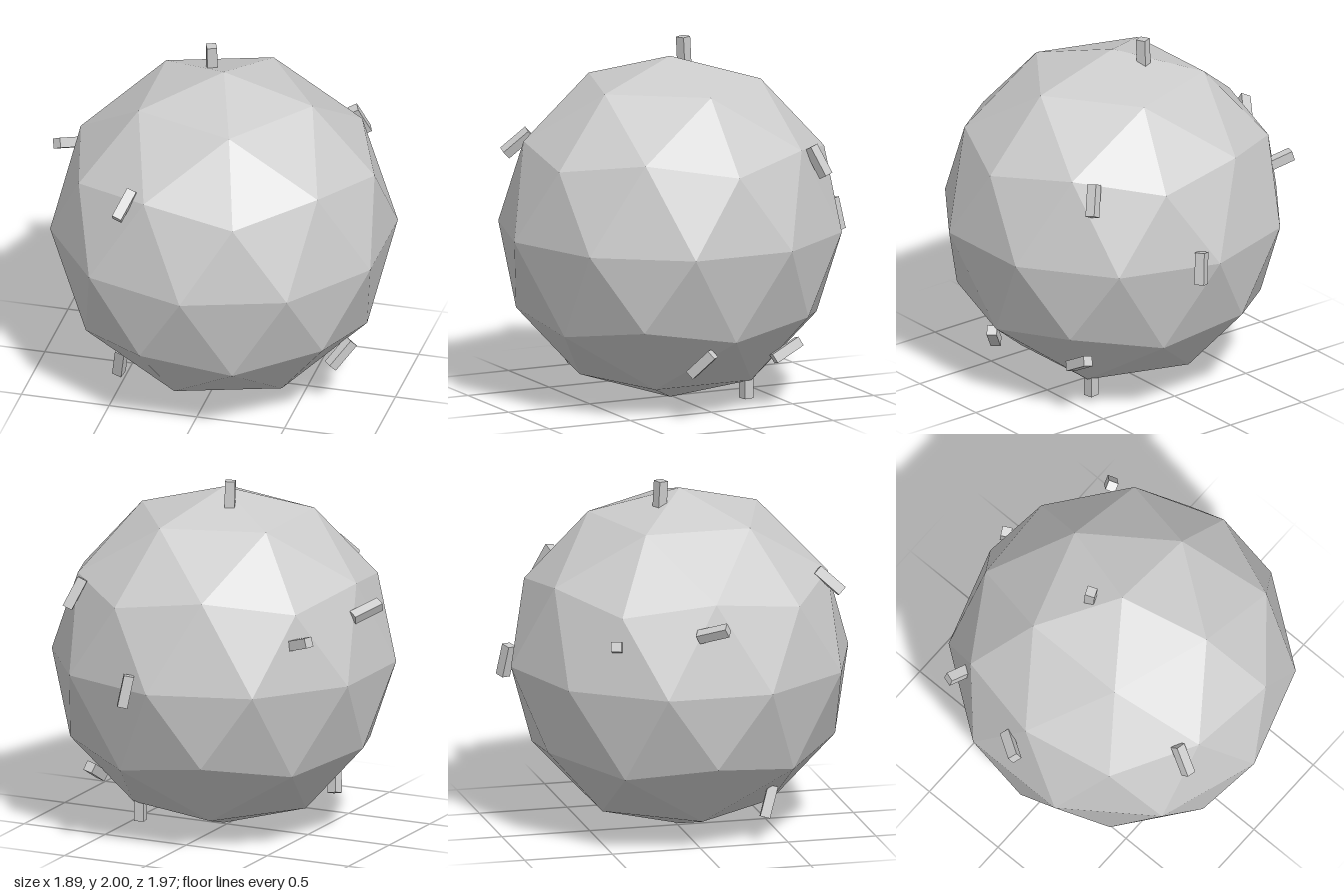
import * as THREE from 'three';

const R = 0.96;
const CENTER = new THREE.Vector3(0.027, 0.963, 0.018);

// Each small block: centre, long axis, and a hint for the direction of one side
const BLOCKS = [
  { name: 'topBlock', at: [-0.08, 1.91, -0.12], axis: [0, 1, 0.05], side: [0.92, 0, -0.38] },
  { name: 'upperFrontBlock', at: [-0.34, 1.437, 0.777], axis: [0.3, 0.65, -0.7], side: [1, -0.2, 0] },
  { name: 'lowerFrontBlock', at: [-0.463, 0.233, 0.4], axis: [0.17, 0.94, 0.3], side: [1, 0, 0.25] },
  { name: 'upperRightBlock', at: [-0.87, 1.33, -0.02], axis: [0.53, -0.3, -0.79], side: [0.7, 0.4, 0.4] },
  { name: 'upperBackLeftBlock', at: [0.64, 1.386, -0.59], axis: [-0.35, 0.88, 0.35], side: [0.3, 0, 1] },
  { name: 'backBlock', at: [0.155, 0.968, -0.937], axis: [-0.15, 0.97, 0.16], side: [0.88, 0, -0.48] },
  { name: 'backRightBlock', at: [-0.7, 1.24, -0.525], axis: [0.91, -0.3, 0.29], side: [-0.3, 0, 1] },
  { name: 'lowerLeftBlock', at: [0.735, 0.333, 0.175], axis: [0.54, 0.69, -0.48], side: [0.7, 0, 0.7] },
  { name: 'lowerBackLeftBlock', at: [0.6, 0.333, -0.413], axis: [0, 0.47, -0.88], side: [1, 0.3, 0] },
  { name: 'bottomBlock', at: [0.4, 0.13, -0.265], axis: [0, 1, 0], side: [0.98, 0, -0.15] },
];

export function createModel() {
  const model = new THREE.Group();
  model.name = 'facetedBall';
  const grey = new THREE.MeshStandardMaterial({ color: 0xcccccc, flatShading: true });
  grey.name = 'light grey';

  // Once-subdivided icosahedron turned so that one corner is the pole
  const ballGeometry = new THREE.IcosahedronGeometry(R, 1);
  ballGeometry.rotateZ(-Math.atan(2 / (1 + Math.sqrt(5))));
  const ball = new THREE.Mesh(ballGeometry, grey);
  ball.name = 'ball';
  ball.position.copy(CENTER);
  model.add(ball);

  // Small blocks half sunk into the surface
  const blockGeometry = new THREE.BoxGeometry(0.056, 0.18, 0.056);
  for (const { name, at, axis, side } of BLOCKS) {
    const y = new THREE.Vector3(...axis).normalize();
    const z = new THREE.Vector3(...side).cross(y).normalize();
    const x = new THREE.Vector3().crossVectors(y, z);
    const block = new THREE.Mesh(blockGeometry, grey);
    block.name = name;
    block.position.set(...at);
    block.quaternion.setFromRotationMatrix(new THREE.Matrix4().makeBasis(x, y, z));
    model.add(block);
  }
  return model;
}
